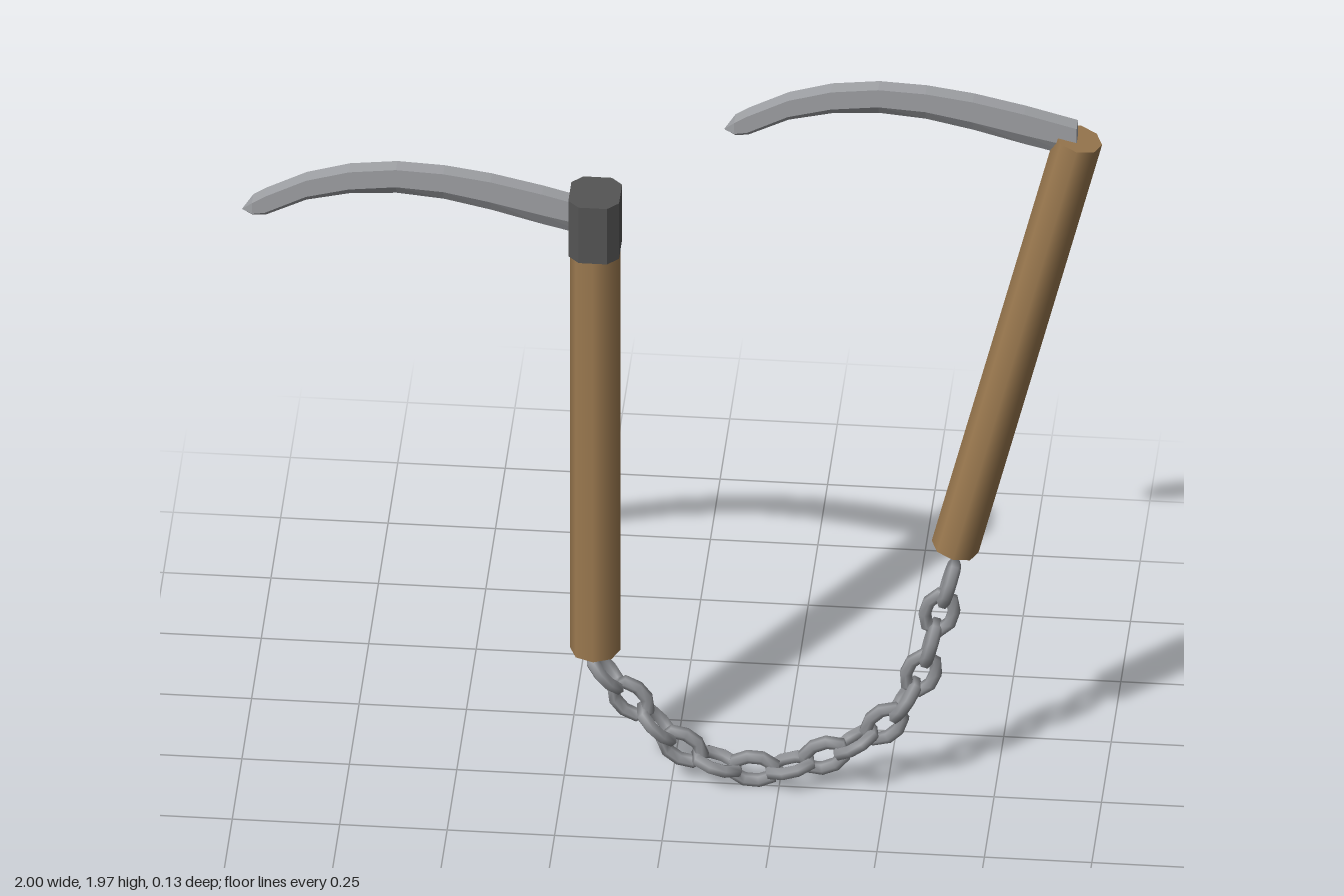
import * as THREE from 'three';

const paint = (color, extra = {}) => new THREE.MeshStandardMaterial({ color, ...extra });

// Blade cross-sections from tip to root: x, spine y, bevel y, cutting edge y
const BLADE = [
  [-0.975, 1.58, 1.55, 1.535], [-0.945, 1.6, 1.555, 1.537], [-0.85, 1.65, 1.605, 1.585],
  [-0.75, 1.68, 1.632, 1.609], [-0.64, 1.693, 1.645, 1.617], [-0.53, 1.688, 1.638, 1.607],
  [-0.42, 1.672, 1.616, 1.583], [-0.3, 1.645, 1.587, 1.55], [-0.178, 1.612, 1.56, 1.52],
];

function bladeGeometry() {
  const t = 0.019;
  const pos = [];
  const rings = BLADE.map(([x, top, bevel, edge]) => [
    [x, top, t], [x, bevel, t], [x, edge, 0], [x, bevel, -t], [x, top, -t],
  ]);
  const tri = (...pts) => pts.forEach((p) => pos.push(...p));
  for (let i = 0; i < rings.length - 1; i++) {
    for (let j = 0; j < 5; j++) {
      const k = (j + 1) % 5;
      const [a, b, c, d] = [rings[i][j], rings[i][k], rings[i + 1][k], rings[i + 1][j]];
      tri(a, b, c);
      tri(a, c, d);
    }
  }
  // Pointed tip and flat root
  const tip = [-1, 1.55, 0];
  const root = rings[rings.length - 1];
  for (let j = 0; j < 5; j++) tri(tip, rings[0][(j + 1) % 5], rings[0][j]);
  for (let j = 1; j < 4; j++) tri(root[0], root[j], root[j + 1]);
  const g = new THREE.BufferGeometry();
  g.setAttribute('position', new THREE.Float32BufferAttribute(pos, 3));
  g.computeVertexNormals();
  return g;
}

// Box with chamfered upright corners
function collarGeometry(w, d, h, c) {
  const x = w / 2, y = d / 2;
  const shape = new THREE.Shape([
    [x, -y + c], [x, y - c], [x - c, y], [-x + c, y], [-x, y - c], [-x, -y + c], [-x + c, -y], [x - c, -y],
  ].map(([a, b]) => new THREE.Vector2(a, b)));
  return new THREE.ExtrudeGeometry(shape, { depth: h, bevelEnabled: false }).rotateX(-Math.PI / 2);
}

// Closed oval chain link, long axis along x
function linkGeometry() {
  const pts = [];
  for (let i = 0; i < 8; i++) {
    const a = ((i + 0.5) / 8) * Math.PI * 2;
    pts.push(new THREE.Vector3(Math.cos(a) * 0.053, Math.sin(a) * 0.033, 0));
  }
  return new THREE.TubeGeometry(new THREE.CatmullRomCurve3(pts, true), 8, 0.016, 6, true);
}

export function createModel() {
  const group = new THREE.Group();
  const wood = paint(0x9c7a50);
  const steel = paint(0xa0a2a6, { flatShading: true });
  const iron = paint(0x555555);
  const chainMetal = paint(0x8f9195);
  const add = (name, geometry, material, x = 0, y = 0, parent = group) => {
    const mesh = new THREE.Mesh(geometry, material);
    mesh.name = name;
    mesh.position.set(x, y, 0);
    parent.add(mesh);
    return mesh;
  };

  // Upright sickle
  add('rightHandle', new THREE.CylinderGeometry(0.059, 0.059, 1.2, 8), wood, -0.178, 0.97);
  add('rightCollar', collarGeometry(0.118, 0.13, 0.155, 0.026), iron, -0.178, 1.49);

  // Leaning sickle, with a slightly domed butt
  const bottom = new THREE.Vector2(0.656, 0.692);
  const top = new THREE.Vector2(0.947, 1.864);
  const length = top.distanceTo(bottom);
  const profile = [[0, 0], [0.056, 0.014], [0.056, 0.014], [0.056, length], [0.056, length], [0, length]]
    .map(([r, y]) => new THREE.Vector2(r, y));
  const handle = add('leftHandle', new THREE.LatheGeometry(profile, 8), wood, bottom.x, bottom.y);
  handle.rotation.z = -Math.atan2(top.x - bottom.x, top.y - bottom.y);

  // Matching blades
  const blade = bladeGeometry();
  add('rightBlade', blade, steel);
  add('leftBlade', blade, steel, 1.122, 0.292);

  // Chain: links alternate edge-on and face-on along the sagging line
  const chain = new THREE.Group();
  chain.name = 'chain';
  group.add(chain);
  const centres = [
    [-0.155, 0.308], [-0.095, 0.235], [-0.035, 0.168], [0.025, 0.108], [0.105, 0.07],
    [0.19, 0.056], [0.275, 0.07], [0.355, 0.103], [0.428, 0.146], [0.495, 0.2],
    [0.543, 0.27], [0.58, 0.348], [0.603, 0.433], [0.623, 0.52], [0.645, 0.602],
  ];
  const link = linkGeometry();
  centres.forEach(([x, y], i) => {
    const a = centres[Math.max(i - 1, 0)];
    const b = centres[Math.min(i + 1, centres.length - 1)];
    const mesh = add(`chainLink${i + 1}`, link, chainMetal, x, y, chain);
    mesh.rotation.set(i % 2 ? 0 : Math.PI / 2, 0, Math.atan2(b[1] - a[1], b[0] - a[0]), 'ZYX');
  });
  return group;
}
